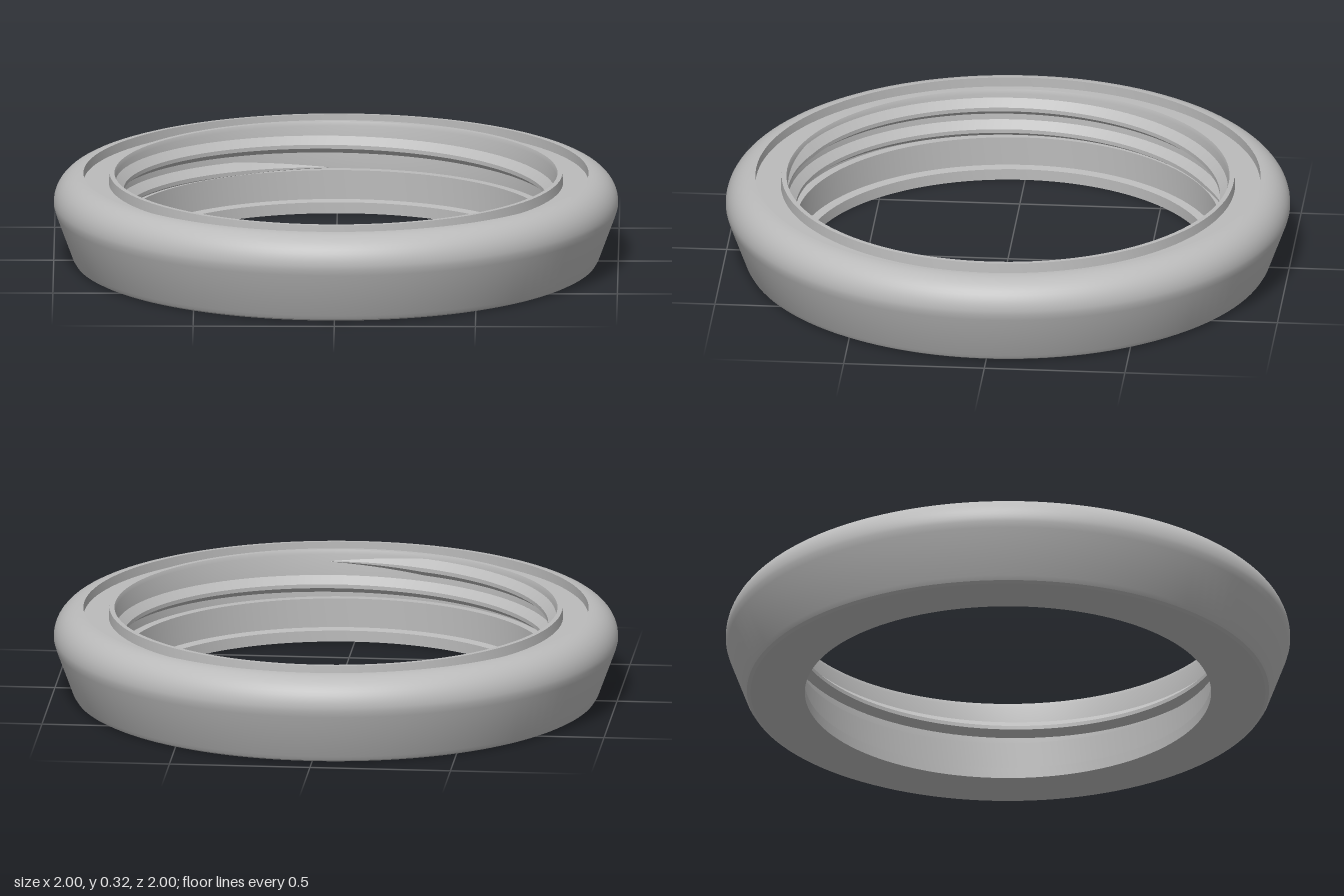
import * as THREE from 'three';
import { toCreasedNormals } from 'three/addons/utils/BufferGeometryUtils.js';

const SEGMENTS = 128;

// Closed ring profile, running under the base, up the outside and down the bore
function ringProfile() {
  const p = [[0.72, 0], [0.912, 0], [0.925, 0.007], [0.934, 0.022], [0.993, 0.182]];
  // rounded shoulder
  for (let i = 0; i <= 12; i++) {
    const a = THREE.MathUtils.degToRad(-6 + (96 * i) / 12);
    p.push([0.895 + 0.105 * Math.cos(a), 0.215 + 0.104 * Math.sin(a)]);
  }
  p.push(
    [0.895, 0.285], [0.805, 0.285],                // shallow groove in the top
    [0.802, 0.32], [0.785, 0.32], [0.78, 0.305],   // collar
    [0.78, 0.15], [0.75, 0.15],                    // threaded wall and its ledge
    [0.75, 0.045], [0.72, 0.04], [0.72, 0]         // lower bore and bottom lip
  );
  return p.map(([r, y]) => new THREE.Vector2(r, y));
}

// Trapezoid rib swept along a rising spiral, fading into the wall at both ends
function threadGeometry() {
  const pitch = 0.083, start = -1.5 * Math.PI, end = 1.55 * Math.PI;
  const steps = 240, fade = 12;
  const section = [[0, -0.03], [0.03, -0.008], [0.03, 0.006], [0, 0.035]];
  const pos = [], index = [];
  for (let i = 0; i <= steps; i++) {
    const t = start + ((end - start) * i) / steps;
    const k = Math.min(1, i / fade, (steps - i) / fade);
    const mid = 0.235 + (pitch * (t - Math.PI / 2)) / (2 * Math.PI);
    for (const [depth, dy] of section) {
      const r = 0.782 - depth * k;
      pos.push(r * Math.cos(t), mid + dy * k, -r * Math.sin(t));
    }
    if (i === steps) continue;
    for (let j = 0; j < 3; j++) {
      const a = i * 4 + j, b = a + 4;
      index.push(a, a + 1, b, b, a + 1, b + 1);
    }
  }
  const g = new THREE.BufferGeometry();
  g.setAttribute('position', new THREE.Float32BufferAttribute(pos, 3));
  g.setIndex(index);
  return toCreasedNormals(g, 0.4);
}

export function createModel() {
  const model = new THREE.Group();
  model.name = 'threadedRing';
  const grey = new THREE.MeshStandardMaterial({ color: 0xbbbbbb });
  grey.name = 'light grey';

  const body = new THREE.Mesh(
    toCreasedNormals(new THREE.LatheGeometry(ringProfile(), SEGMENTS), 0.35), grey);
  body.name = 'ringBody';

  const thread = new THREE.Mesh(threadGeometry(), grey);
  thread.name = 'innerThread';

  model.add(body, thread);
  return model;
}
